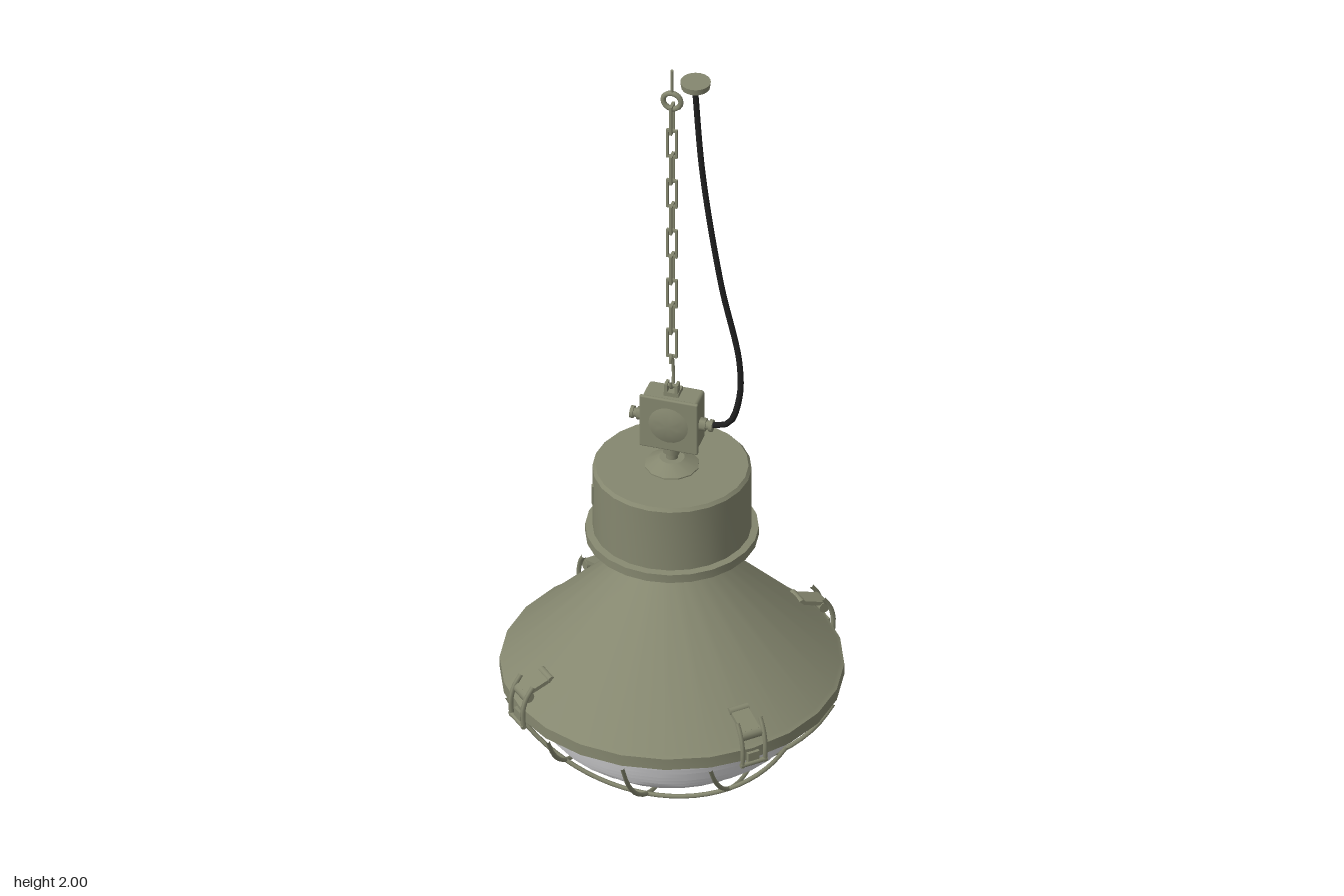
import * as THREE from 'three';
import { toCreasedNormals } from 'three/addons/utils/BufferGeometryUtils.js';
import { RoundedBoxGeometry } from 'three/addons/geometries/RoundedBoxGeometry.js';

export function createModel() {
  const root = new THREE.Group();
  root.name = 'pendantLamp';

  const paint = new THREE.MeshStandardMaterial({ color: 0x85876f });
  paint.name = 'olive paint';
  const glass = new THREE.MeshStandardMaterial({ color: 0xd8d8da });
  glass.name = 'pale glass';
  glass.side = THREE.DoubleSide;
  const rubber = new THREE.MeshStandardMaterial({ color: 0x1f1f1f });
  rubber.name = 'black rubber';

  const v = (x, y, z) => new THREE.Vector3(x, y, z);
  function add(parent, name, geometry, material, x = 0, y = 0, z = 0) {
    const mesh = new THREE.Mesh(geometry, material);
    mesh.name = name;
    mesh.position.set(x, y, z);
    parent.add(mesh);
    return mesh;
  }
  const lathe = (pts, sides = 24) => toCreasedNormals(
    new THREE.LatheGeometry(pts.map(([r, y]) => new THREE.Vector2(r, y)), sides), 0.5);
  const tube = (pts, radius, segments, sides = 6) => new THREE.TubeGeometry(
    new THREE.CatmullRomCurve3(pts), segments, radius, sides);
  const box = (w, h, d) => new THREE.BoxGeometry(w, h, d);
  const cyl = (r, h, sides = 12, rTop = r) => new THREE.CylinderGeometry(rTop, r, h, sides);

  // Conical shade with its rim and neck
  add(root, 'shade', lathe([
    [0.36, 0.278], [0.4, 0.27], [0.405, 0.272], [0.405, 0.302],
    [0.395, 0.308], [0.092, 0.622], [0.092, 0.7],
  ]), paint);

  // Gear housing, stepped underneath, with a flange and a shallow top cone
  add(root, 'gearHousing', lathe([
    [0.085, 0.695], [0.125, 0.695], [0.13, 0.685], [0.155, 0.685], [0.16, 0.675], [0.18, 0.675],
    [0.185, 0.668], [0.204, 0.668], [0.204, 0.69], [0.187, 0.692],
    [0.187, 0.858], [0.18, 0.866], [0, 0.866],
  ]), paint);
  add(root, 'topCone', lathe([[0.065, 0.864], [0.065, 0.869], [0.03, 0.888], [0, 0.888]], 12), paint);
  add(root, 'stem', cyl(0.015, 0.06), paint, 0, 0.908, 0);
  add(root, 'stemNut', cyl(0.022, 0.018, 6), paint, 0, 0.912, 0);
  const plate = add(root, 'housingPlate', box(0.012, 0.05, 0.006), paint, -0.171, 0.795, 0.076);
  plate.rotation.y = Math.atan2(-0.171, 0.076);

  // Bowl: smooth cap below, ribs stepping out towards the rim
  const R = 0.391;
  const bowlRadius = (y) => Math.sqrt(R * R - (0.02 + R - y) ** 2);
  const bowl = [];
  for (let i = 0; i <= 10; i++) {
    const a = (i / 10) * 0.82;
    bowl.push([R * Math.sin(a), 0.02 + R - R * Math.cos(a)]);
  }
  const ribs = 8, ribStart = bowl[10][1], ribStep = (0.28 - ribStart) / ribs;
  for (let i = 0; i < ribs; i++) {
    const y = ribStart + i * ribStep;
    const inner = bowlRadius(y), outer = bowlRadius(y + ribStep);
    bowl.push([inner + 0.6 * (outer - inner), y + 0.002], [outer, y + ribStep]);
  }
  add(root, 'glassBowl', lathe(bowl, 32), glass);

  // Wire guard: three arcs each way over a spherical cap
  const guard = new THREE.Group();
  guard.name = 'wireGuard';
  root.add(guard);
  const G = 0.438, guardY = 0.005 + G;
  for (const turned of [false, true]) {
    for (const offset of [-0.2, 0, 0.2]) {
      const half = Math.sqrt(0.398 ** 2 - offset ** 2);
      const arcR = Math.sqrt(G * G - offset * offset);
      const maxA = Math.asin(half / arcR);
      const pts = [];
      for (let i = 0; i <= 14; i++) {
        const a = maxA * (i / 7 - 1);
        const s = arcR * Math.sin(a), y = guardY - arcR * Math.cos(a);
        pts.push(turned ? v(offset, y, s) : v(s, y, offset));
      }
      add(guard, 'guardWire', tube(pts, 0.0055, 28), paint);
    }
  }

  // Four clamps on the diagonals; local +z points outwards
  for (let k = 0; k < 4; k++) {
    const clamp = new THREE.Group();
    clamp.name = 'clamp';
    clamp.rotation.y = Math.PI / 4 + k * Math.PI / 2;
    root.add(clamp);
    const lever = add(clamp, 'clampLever', box(0.046, 0.01, 0.07), paint, 0, 0.358, 0.364);
    lever.rotation.x = 0.35;
    const curl = add(clamp, 'clampCurl', cyl(0.009, 0.05), paint, 0, 0.37, 0.333);
    curl.rotation.z = Math.PI / 2;
    const roll = add(clamp, 'clampRoll', cyl(0.014, 0.05), paint, 0, 0.338, 0.393);
    roll.rotation.z = Math.PI / 2;
    for (const s of [-1, 1]) {
      add(clamp, 'clampBar', tube([
        v(s * 0.03, 0.37, 0.385), v(s * 0.03, 0.345, 0.402),
        v(s * 0.03, 0.31, 0.412), v(s * 0.03, 0.26, 0.41),
      ], 0.006, 8), paint);
    }
    const pin = add(clamp, 'clampPin', cyl(0.006, 0.07, 8), paint, 0, 0.266, 0.411);
    pin.rotation.z = Math.PI / 2;
    add(clamp, 'clampHook', box(0.03, 0.028, 0.016), paint, 0, 0.28, 0.404);
  }

  // Junction box with lid, glands and hanging bracket
  const junction = new THREE.Group();
  junction.name = 'junctionBox';
  root.add(junction);
  add(junction, 'boxBody', new RoundedBoxGeometry(0.136, 0.136, 0.07, 2, 0.008), paint, 0, 0.997, -0.01);
  add(junction, 'boxLid', new RoundedBoxGeometry(0.144, 0.144, 0.01, 2, 0.004), paint, 0, 0.997, 0.025);
  const dome = add(junction, 'lidDome', lathe(
    [[0.05, 0], [0.042, 0.003], [0.025, 0.007], [0, 0.009]], 20), paint, 0, 0.997, 0.0295);
  dome.rotation.x = Math.PI / 2;
  for (const s of [-1, 1]) {
    for (const [r, len, x, sides] of [[0.016, 0.016, 0.077, 6], [0.011, 0.028, 0.085, 12], [0.015, 0.008, 0.097, 12]]) {
      const gland = add(junction, 'cableGland', cyl(r, len, sides), paint, s * x, 0.997, 0);
      gland.rotation.z = Math.PI / 2;
    }
  }
  add(junction, 'bracketFoot', box(0.036, 0.012, 0.036), paint, 0, 1.07, -0.01);
  for (const s of [-1, 1]) add(junction, 'bracketTab', box(0.007, 0.03, 0.022), paint, s * 0.013, 1.085, 0);
  const bracketPin = add(junction, 'bracketPin', cyl(0.004, 0.034, 8), paint, 0, 1.093, 0);
  bracketPin.rotation.z = Math.PI / 2;

  // Open hook between bracket and chain
  add(root, 'chainHook', tube([
    v(0, 1.112, 0.012), v(0, 1.092, 0.008), v(0, 1.088, -0.006), v(0, 1.11, -0.011),
    v(0, 1.15, -0.008), v(0, 1.178, 0.0), v(0, 1.18, 0.01), v(0, 1.165, 0.013),
  ], 0.004, 20), paint);

  // Chain: rectangular links, turned a quarter each time
  const rectangle = (path, w, h) => path.moveTo(-w, -h).lineTo(w, -h).lineTo(w, h).lineTo(-w, h).closePath();
  const linkShape = rectangle(new THREE.Shape(), 0.0135, 0.04);
  linkShape.holes.push(rectangle(new THREE.Path(), 0.0085, 0.034));
  const linkGeometry = new THREE.ExtrudeGeometry(linkShape, { depth: 0.007, bevelEnabled: false });
  linkGeometry.translate(0, 0, -0.0035);
  for (let i = 0; i < 10; i++) {
    const link = add(root, 'chainLink', linkGeometry, paint, 0, 1.215 + i * 0.0718, 0);
    if (i % 2) link.rotation.y = Math.PI / 2;
  }

  // Ceiling eye and its pin
  add(root, 'ceilingEye', new THREE.TorusGeometry(0.022, 0.0065, 8, 16), paint, 0, 1.912, 0);
  add(root, 'eyePin', cyl(0.004, 0.066, 8), paint, 0, 1.967, 0);

  // Supply cable and ceiling cap
  add(root, 'cable', tube([
    v(0.056, 1.965, 0), v(0.075, 1.71, -0.003), v(0.117, 1.4, -0.012), v(0.16, 1.18, -0.018),
    v(0.161, 1.08, -0.014), v(0.138, 1.01, -0.005), v(0.09, 0.997, 0),
  ], 0.0075, 48, 8), rubber);
  add(root, 'ceilingCap', cyl(0.034, 0.016, 20, 0.036), paint, 0.058, 1.972, 0);
  add(root, 'capCollar', cyl(0.012, 0.012), paint, 0.057, 1.96, 0);

  return root;
}
